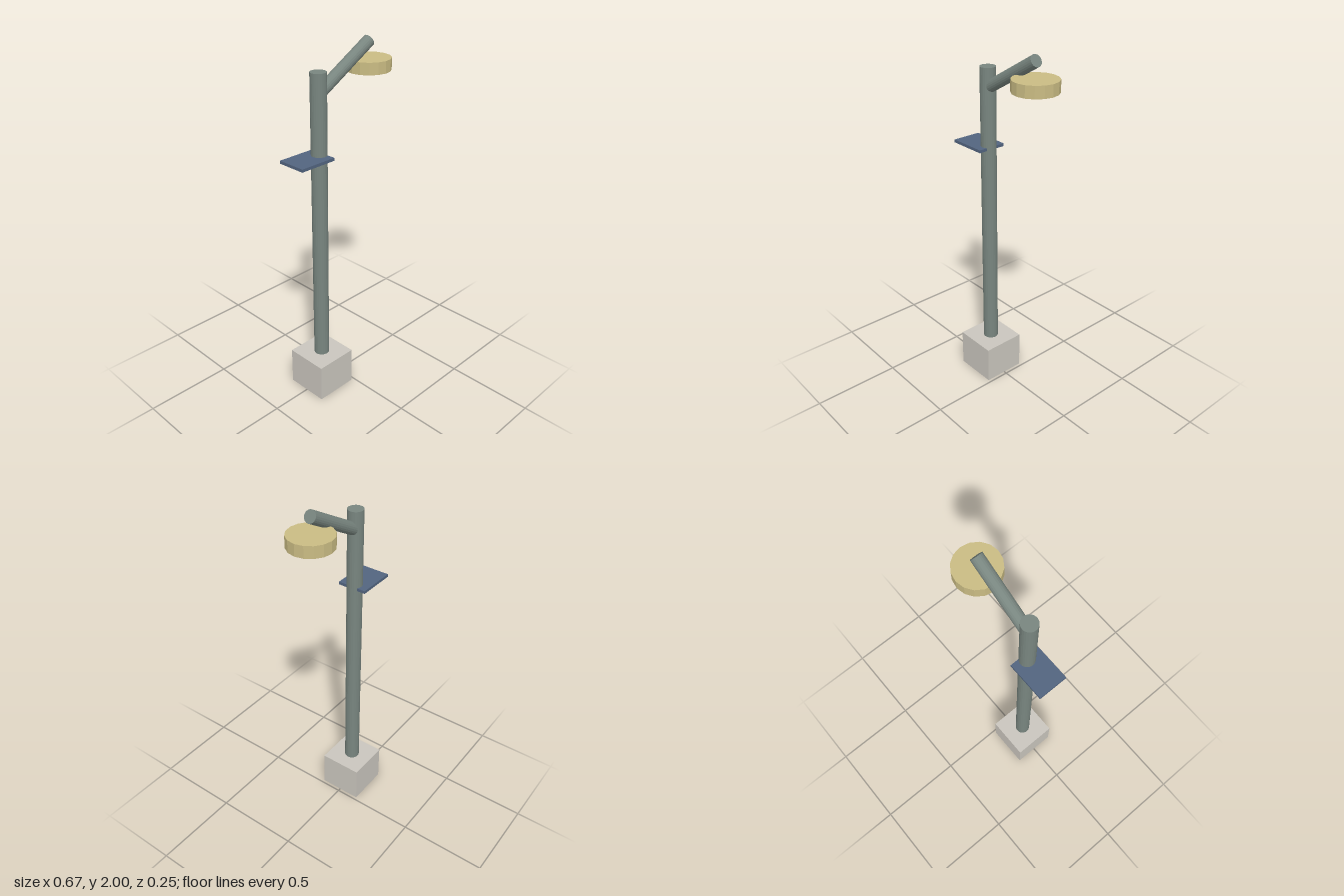
import * as THREE from 'three';

const paint = (name, color, flatShading = true) => {
  const material = new THREE.MeshStandardMaterial({ color, flatShading });
  material.name = name;
  return material;
};

export function createModel() {
  const concrete = paint('concrete', 0xc9c5bd);
  const steel = paint('greySteel', 0x78857f);
  const panelBlue = paint('panelBlue', 0x52647f);
  const lampCream = paint('lampCream', 0xc9bb83);

  const model = new THREE.Group();
  model.name = 'streetLamp';
  const add = (name, geometry, material, x, y, z = 0) => {
    const mesh = new THREE.Mesh(geometry, material);
    mesh.name = name;
    mesh.position.set(x, y, z);
    model.add(mesh);
    return mesh;
  };

  const poleX = -0.143;
  const baseHeight = 0.22, poleTop = 1.875;

  // Footing block and upright
  add('base', new THREE.BoxGeometry(0.248, baseHeight, 0.248), concrete, poleX, baseHeight / 2);
  add('pole', new THREE.CylinderGeometry(0.043, 0.043, poleTop - baseHeight, 24), steel,
    poleX, (poleTop + baseHeight) / 2);

  // Arm rises at 30 degrees from the pole's axis
  const start = new THREE.Vector3(poleX, 1.763, 0);
  const end = new THREE.Vector3(0.215, 1.97, 0);
  const along = end.clone().sub(start);
  const middle = start.clone().add(end).multiplyScalar(0.5);
  const arm = add('arm', new THREE.CylinderGeometry(0.033, 0.033, along.length(), 20), steel,
    middle.x, middle.y);
  arm.quaternion.setFromUnitVectors(new THREE.Vector3(0, 1, 0), along.normalize());

  // Round lamp head beneath the arm's tip
  add('lampHead', new THREE.CylinderGeometry(0.121, 0.121, 0.064, 16), lampCream, 0.214, 1.852);

  // Flat panel on the side away from the lamp
  add('solarPanel', new THREE.BoxGeometry(0.219, 0.016, 0.165), panelBlue, -0.226, 1.438);

  return model;
}
